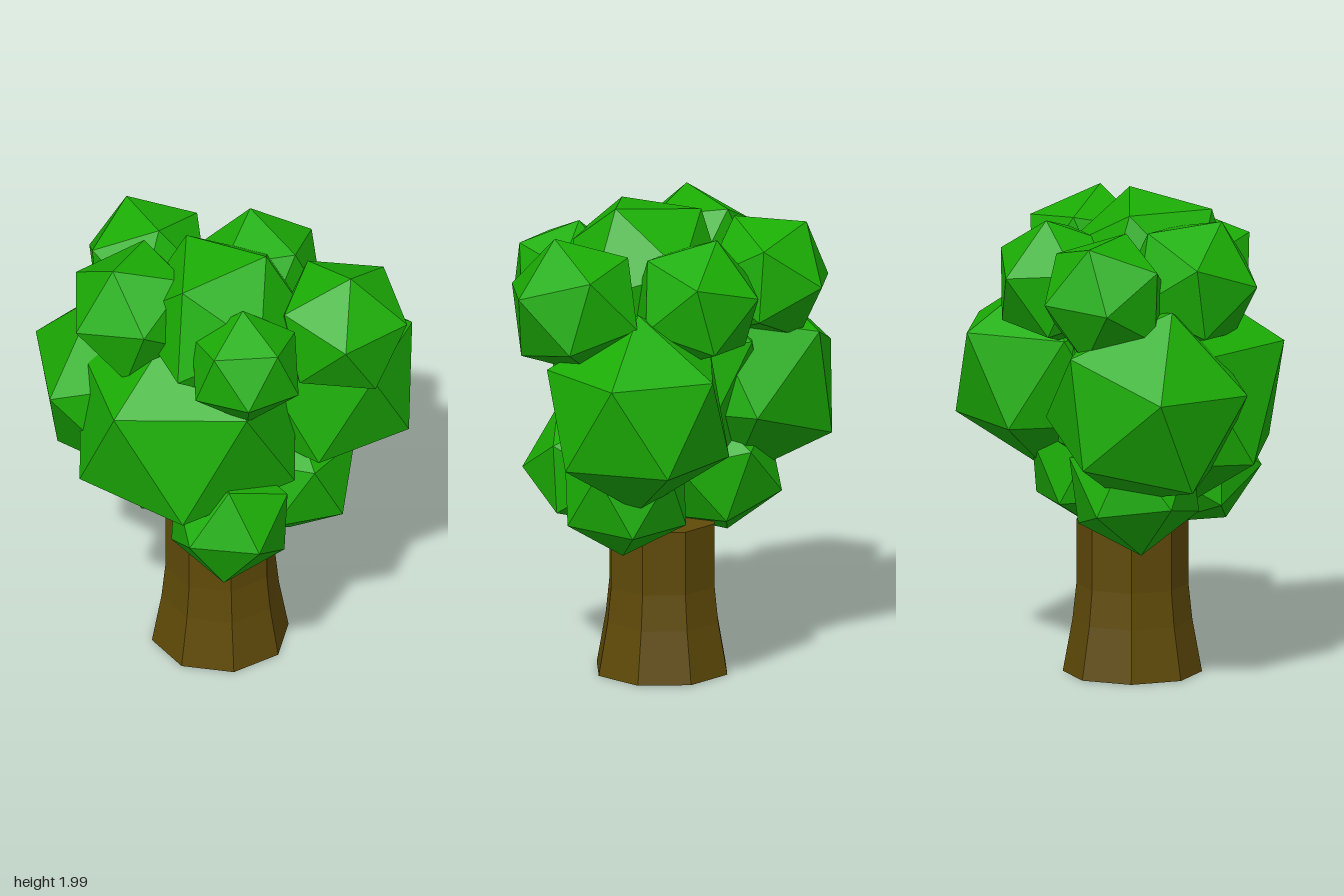
import * as THREE from 'three';

const V = (p) => new THREE.Vector3(...p);

// Orthonormal basis whose first axis points along a, with b in its first plane
function basis(a, b) {
  const x = a.clone().normalize();
  const y = b.clone().addScaledVector(x, -b.dot(x)).normalize();
  return new THREE.Matrix4().makeBasis(x, y, x.clone().cross(y));
}

// Icosahedron turned so one corner points at a and a neighbouring corner towards b
function clump(name, material, center, radius, a, b) {
  const geometry = new THREE.IcosahedronGeometry(radius, 0);
  const t = (1 + Math.sqrt(5)) / 2;
  const source = basis(V([-1, t, 0]), V([1, t, 0]));
  const target = basis(V(a).sub(V(center)), V(b).sub(V(center)));
  geometry.applyMatrix4(target.multiply(source.transpose()));
  const mesh = new THREE.Mesh(geometry, material);
  mesh.name = name;
  mesh.position.set(...center);
  return mesh;
}

export function createModel() {
  const group = new THREE.Group();
  group.name = 'tree';

  const leaf = new THREE.MeshStandardMaterial({ color: 0x1bad05 });
  leaf.name = 'leaf green';
  const bark = new THREE.MeshStandardMaterial({ color: 0x5f4a08 });
  bark.name = 'bark brown';

  // Eight-sided trunk, flared at the foot and closed at both ends
  const profile = [[0, 0], [0.287, 0], [0.247, 0.22], [0.231, 0.37], [0.231, 0.64], [0, 0.64]];
  const trunkGeometry = new THREE.LatheGeometry(profile.map((p) => new THREE.Vector2(...p)), 8).toNonIndexed();
  trunkGeometry.computeVertexNormals();
  const trunk = new THREE.Mesh(trunkGeometry, bark);
  trunk.name = 'trunk';
  trunk.rotation.y = -0.06;
  trunk.position.set(0.035, 0, 0.048);
  group.add(trunk);

  // Leaf clumps: name, centre, radius, corner, neighbouring corner
  const clumps = [
    // top layer
    ['topClump', [0.09, 1.666, 0.123], 0.375, [0.256, 2.0, 0.045], [-0.15, 1.94, 0.03]],
    ['topBackLeftClump', [-0.385, 1.655, -0.08], 0.285, [-0.52, 1.87, -0.15], [-0.225, 1.855, -0.33]],
    ['topFrontLeftClump', [-0.235, 1.685, 0.28], 0.295, [-0.04, 1.755, 0.535], [-0.355, 1.69, 0.525]],
    ['topFrontRightClump', [0.325, 1.645, 0.34], 0.25, [0.29, 1.88, 0.3], [0.3, 1.75, 0.54]],
    ['topRightClump', [0.525, 1.65, -0.105], 0.3, [0.595, 1.94, -0.06], [0.8, 1.67, -0.16]],
    ['topBackClump', [0.04, 1.64, -0.26], 0.285, [-0.03, 1.91, -0.31], [0.158, 1.78, -0.5]],
    // middle layer
    ['middleFrontClump', [-0.03, 1.19, 0.205], 0.522, [-0.11, 1.415, 0.667], [0.19, 0.955, 0.61]],
    ['middleLeftClump', [-0.365, 1.195, 0.09], 0.442, [-0.8, 1.28, 0.13], [-0.535, 1.27, 0.5]],
    ['middleBackClump', [0.33, 1.215, -0.295], 0.42, [0.33, 1.635, -0.295], [0.59, 1.4, -0.555]],
    // bottom layer
    ['lowFrontClump', [0.235, 0.83, 0.315], 0.275, [0.205, 0.83, 0.58], [0.315, 1.065, 0.415]],
    ['lowRightClump', [0.285, 0.835, -0.1], 0.29, [0.55, 0.705, -0.08], [0.278, 0.546, -0.08]],
    ['lowLeftClump', [-0.21, 0.835, 0.045], 0.295, [-0.28, 0.557, 0.07], [-0.48, 0.8, 0.2]],
  ];
  for (const [name, ...shape] of clumps) group.add(clump(name, leaf, ...shape));

  return group;
}
